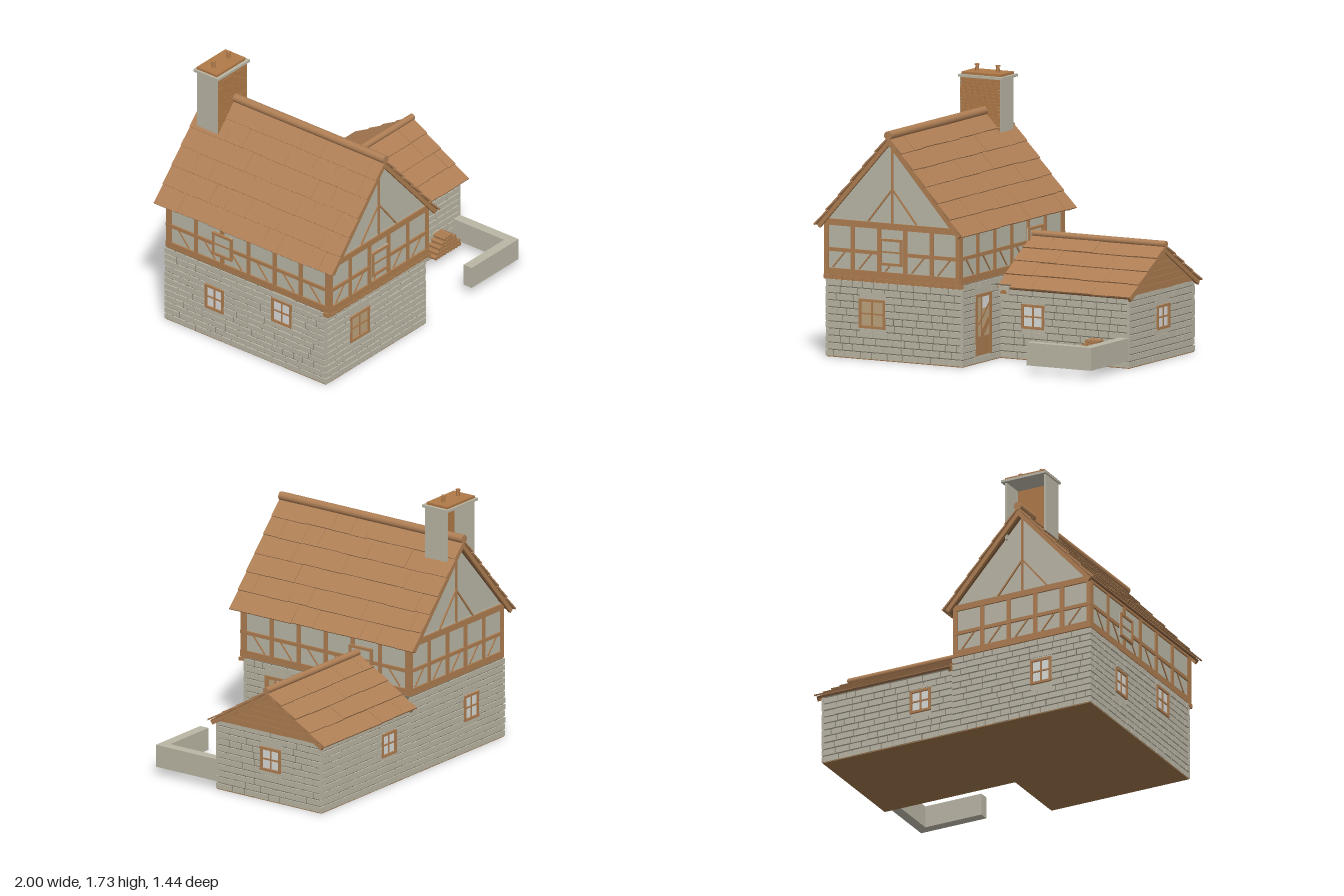
import * as THREE from 'three';
import { mergeGeometries } from 'three/addons/utils/BufferGeometryUtils.js';

const paint = (name, color) => Object.assign(new THREE.MeshStandardMaterial({ color }), { name });

export function createModel() {
  const stone = paint('stone', 0xbab6a5), mortar = paint('mortar', 0x787265);
  const plaster = paint('plaster', 0xbab7a7), timber = paint('timber', 0xae7d50);
  const tile = paint('roof tile', 0xaf7f55), lath = paint('roof underside', 0x8a6342);
  const glass = paint('glass', 0xdadcda), tan = paint('tan panel', 0xbca27c);
  const brick = paint('chimney brick', 0xb07a48), floorMat = paint('floor', 0x9c734a);

  let seed = 7;
  const rand = (a, b) => {
    seed = (seed * 16807) % 2147483647;
    return a + (b - a) * (seed / 2147483647);
  };
  const model = new THREE.Group();
  model.name = 'cottage';

  const boxGeo = (x0, x1, y0, y1, z0, z1) => new THREE.BoxGeometry(x1 - x0, y1 - y0, z1 - z0)
    .translate((x0 + x1) / 2, (y0 + y1) / 2, (z0 + z1) / 2);
  const add = (parent, name, geo, mat) => {
    const m = new THREE.Mesh(geo, mat);
    m.name = name;
    parent.add(m);
    return m;
  };
  const box = (parent, name, mat, ...b) => add(parent, name, boxGeo(...b), mat);

  // A wall frame: local x runs along the wall, y up, z outward
  const face = (name, angle, x, z) => {
    const g = new THREE.Group();
    g.name = name;
    g.rotation.y = angle;
    g.position.set(x, 0, z);
    model.add(g);
    return g;
  };
  const RIGHT = Math.PI / 2, BACK = Math.PI, LEFT = -Math.PI / 2;

  // Bar between two points of a wall frame
  const barGeo = (x0, y0, x1, y1, width, z0, z1) =>
    new THREE.BoxGeometry(Math.hypot(x1 - x0, y1 - y0), width, z1 - z0)
      .rotateZ(Math.atan2(y1 - y0, x1 - x0)).translate((x0 + x1) / 2, (y0 + y1) / 2, (z0 + z1) / 2);

  // Courses of blocks, left out around the holes [u0, u1, v0, v1]
  function courses(wall, name, mat, u0, u1, v0, v1, holes = [], rowH = 0.044, len = [0.06, 0.13], gap = 0.008) {
    const parts = [], rows = Math.round((v1 - v0) / rowH), h = (v1 - v0) / rows;
    for (let r = 0; r < rows; r++) {
      const a = v0 + r * h, b = a + h - gap;
      let start = u0;
      const cuts = holes.filter(o => o[2] < b && o[3] > a).sort((p, q) => p[0] - q[0]);
      for (const [c0, c1] of [...cuts, [u1, u1]]) {
        for (let u = start; u < c0 - 0.005;) {
          let end = u + rand(...len);
          if (c0 - end < len[0] * 0.6) end = c0;
          parts.push(boxGeo(u, end === c0 ? c0 : end - gap, a, b, -0.015, rand(-0.003, 0.001)));
          u = end;
        }
        start = c1;
      }
    }
    // Plain lintel and sill fill the cut courses
    for (const [c0, c1, a, b] of holes)
      parts.push(boxGeo(c0, c1, b, b + 0.04, -0.015, -0.006), boxGeo(c0, c1, a - 0.04, a, -0.015, -0.006));
    add(wall, name, mergeGeometries(parts), mat);
  }

  // Framed window with glazing bars
  function windowOn(wall, [u0, u1, v0, v1], pane, mullion = true) {
    const t = 0.016, mu = (u0 + u1) / 2, mv = (v0 + v1) / 2;
    box(wall, 'windowPane', pane, u0, u1, v0, v1, -0.012, -0.004);
    const bars = [
      boxGeo(u0, u0 + t, v0, v1, -0.012, 0.006), boxGeo(u1 - t, u1, v0, v1, -0.012, 0.006),
      boxGeo(u0, u1, v0, v0 + t, -0.012, 0.007), boxGeo(u0, u1, v1 - t, v1, -0.012, 0.007),
      boxGeo(u0, u1, mv - 0.005, mv + 0.005, -0.012, 0.002)];
    if (mullion) bars.push(boxGeo(mu - 0.005, mu + 0.005, v0, v1, -0.012, 0.002));
    add(wall, 'windowFrame', mergeGeometries(bars), timber);
  }

  // Wall cores and floors
  box(model, 'mainWallCore', mortar, -0.95, 0.02, 0.004, 0.52, -0.66, 0.63);
  box(model, 'wingWallCore', mortar, 0.02, 0.95, 0.004, 0.46, -0.66, 0.15);
  box(model, 'mainFloor', floorMat, -0.955, 0.025, 0, 0.008, -0.665, 0.635);
  box(model, 'wingFloor', floorMat, 0.025, 0.955, 0, 0.008, -0.665, 0.155);

  // Stone walls: frame, extent along the wall, top, windows
  const walls = [
    ['mainFrontWall', 0, 0, 0.64, -0.96, 0.03, 0.5, [[-0.72, -0.53, 0.2, 0.385]], tan],
    ['mainBackWall', BACK, 0, -0.67, -0.03, 0.96, 0.525, [[0.53, 0.68, 0.21, 0.38]], glass],
    ['mainLeftWall', LEFT, -0.96, 0, -0.67, 0.64, 0.525, [[-0.34, -0.19, 0.21, 0.38], [0.2, 0.36, 0.31, 0.48]], glass],
    ['wingFrontWall', 0, 0, 0.16, 0.03, 0.96, 0.455, [[0.18, 0.345, 0.2, 0.355]], glass],
    ['wingBackWall', BACK, 0, -0.67, -0.96, -0.03, 0.455, [[-0.33, -0.18, 0.2, 0.355]], glass],
    ['wingEndWall', RIGHT, 0.96, 0, -0.16, 0.67, 0.47, [[0.19, 0.35, 0.2, 0.355]], glass],
  ];
  for (const [name, angle, x, z, u0, u1, top, holes, pane] of walls) {
    const wall = face(name, angle, x, z);
    courses(wall, 'stoneBlocks', stone, u0, u1, 0.006, top, holes);
    holes.forEach(h => windowOn(wall, h, pane));
  }

  // Door wall, door leaf, braces and light
  const doorWall = face('doorWall', RIGHT, 0.03, 0);
  courses(doorWall, 'stoneBlocks', stone, -0.64, -0.12, 0.006, 0.525, [[-0.475, -0.27, 0.05, 0.44]]);
  box(doorWall, 'doorLeaf', tan, -0.46, -0.285, 0.05, 0.425, -0.012, -0.006);
  box(doorWall, 'doorGlass', glass, -0.38, -0.3, 0.345, 0.42, -0.01, -0.004);
  add(doorWall, 'doorFrame', mergeGeometries([
    boxGeo(-0.475, -0.445, 0.05, 0.44, -0.012, 0), boxGeo(-0.295, -0.27, 0.05, 0.44, -0.012, 0),
    boxGeo(-0.475, -0.27, 0.42, 0.44, -0.012, 0.001), boxGeo(-0.4, -0.388, 0.17, 0.42, -0.012, -0.003),
    barGeo(-0.43, 0.25, -0.3, 0.37, 0.016, -0.012, -0.002), barGeo(-0.39, 0.18, -0.3, 0.27, 0.04, -0.012, -0.002),
    boxGeo(-0.445, -0.295, 0.05, 0.17, -0.012, -0.004)]), timber);

  // Jettied upper storey and its attic
  box(model, 'upperWalls', plaster, -0.945, 0.015, 0.52, 0.89, -0.655, 0.66);
  const attic = new THREE.Shape([[-0.94, 0.88], [0.01, 0.88], [-0.465, 1.4]].map(p => new THREE.Vector2(...p)));
  add(model, 'atticGables', new THREE.ExtrudeGeometry(attic, { depth: 1.31, bevelEnabled: false })
    .translate(0, 0, -0.652), plaster);

  // Timber frame on one side of the upper storey
  function frame(name, angle, x, z, u0, u1, bays, win, gable) {
    const wall = face(name, angle, x, z), parts = [], step = (u1 - u0) / bays, d = gable ? 1 : -1;
    for (const [a, b] of [[0.525, 0.57], [0.677, 0.7], [0.842, 0.882]])
      parts.push(boxGeo(u0 - 0.015, u1 + 0.015, a, b, -0.01, 0.011));
    for (let i = 0; i <= bays; i++) {
      const u = u0 + i * step, m = u + step / 2;
      parts.push(boxGeo(u - 0.014, u + 0.014, 0.53, 0.88, -0.01, 0.009));
      if (i < bays) parts.push(barGeo(m - 0.05 * d, 0.575, m + 0.04 * d, 0.68, 0.009, -0.01, 0.006));
    }
    if (gable) {
      const c = (u0 + u1) / 2;
      parts.push(boxGeo(c - 0.006, c + 0.006, 0.88, 1.385, -0.01, 0.007));
      for (const s of [-1, 1]) parts.push(barGeo(c, 1.1, c + s * 0.175, 0.885, 0.01, -0.01, 0.006));
    }
    add(wall, 'timberFrame', mergeGeometries(parts), timber);
    if (win) {
      const g = new THREE.Group();
      g.name = 'upperWindow';
      g.position.z = 0.017;
      wall.add(g);
      windowOn(g, win, plaster, false);
    }
  }
  frame('upperFront', 0, 0, 0.66, -0.94, 0.01, 5, [-0.55, -0.385, 0.615, 0.785], true);
  frame('upperBack', BACK, 0, -0.655, -0.01, 0.94, 5, null, true);
  frame('upperRight', RIGHT, 0.015, 0, -0.64, 0.635, 6, [0.19, 0.37, 0.62, 0.78]);
  frame('upperLeft', LEFT, -0.945, 0, -0.635, 0.64, 6, [-0.28, -0.12, 0.62, 0.78]);

  // Jetty beam with joist ends
  box(model, 'jettyBeam', timber, -0.965, 0.025, 0.498, 0.526, 0.62, 0.662);
  for (let i = 0; i < 14; i++)
    box(model, 'joistEnd', timber, -0.95 + i * 0.072, -0.895 + i * 0.072, 0.503, 0.523, 0.65, 0.672);

  // Pitched roof: ridge along local x, overlapping tiles on both slopes
  function roof(name, length, run, rise, rows, ridgeR) {
    const g = new THREE.Group(), slope = Math.hypot(run, rise), step = slope / rows, half = length / 2;
    g.name = name;
    for (const turn of [0, Math.PI]) {
      const side = new THREE.Group(), pitch = new THREE.Group(), tiles = [];
      side.name = 'roofSide';
      pitch.name = 'roofSlope';
      side.rotation.y = turn;
      pitch.rotation.x = Math.atan2(rise, run);
      g.add(side.add(pitch));
      box(pitch, 'roofDeck', lath, -half + 0.01, half - 0.01, -0.016, -0.002, 0, slope - 0.01);
      for (const s of [-1, 1])
        add(pitch, 'bargeBoard', boxGeo(-0.01, 0.01, -0.034, -0.008, 0, slope - 0.01)
          .translate(s * (half - 0.018), 0, 0), timber);
      for (let r = 0; r < rows; r++)
        for (let x = -half; x < half - 0.001;) {
          let w = rand(0.09, 0.22);
          if (half - x - w < 0.06) w = half - x;
          const len = step + rand(0, 0.006);
          tiles.push(new THREE.BoxGeometry(w - 0.0008, 0.01, len).rotateX(-0.06)
            .translate(x + w / 2, 0.004 + rand(-0.0015, 0.0015), r * step + len / 2));
          x += w;
        }
      add(pitch, 'roofTiles', mergeGeometries(tiles), tile);
    }
    const ridge = add(g, 'ridgeRoll', new THREE.CylinderGeometry(ridgeR, ridgeR, length, 12), tile);
    ridge.rotation.z = Math.PI / 2;
    ridge.position.y = 0.012;
    model.add(g);
    return g;
  }
  const mainRoof = roof('mainRoof', 1.44, 0.53, 0.595, 6, 0.028);
  mainRoof.rotation.y = RIGHT;
  mainRoof.position.set(-0.465, 1.435, 0);
  roof('wingRoof', 0.97, 0.452, 0.275, 4, 0.022).position.set(0.505, 0.727, -0.255);

  // Boarded gable of the wing
  const gableEnd = face('wingGable', RIGHT, 0.945, 0);
  for (let i = 0; i < 6; i++) {
    const y0 = 0.46 + i * 0.042, y1 = y0 + 0.0405, w = y => Math.max(0.001, (0.712 - y) / 0.6);
    const s = new THREE.Shape([[-w(y0), y0], [w(y0), y0], [w(y1), y1], [-w(y1), y1]]
      .map(([u, v]) => new THREE.Vector2(u + 0.255, v)));
    add(gableEnd, 'gableBoard', new THREE.ExtrudeGeometry(s, { depth: 0.024, bevelEnabled: false }), timber);
  }
  const backing = new THREE.Shape([[-0.16, 0.455], [0.67, 0.455], [0.255, 0.705]].map(p => new THREE.Vector2(...p)));
  add(gableEnd, 'gableBacking', new THREE.ExtrudeGeometry(backing, { depth: 0.015, bevelEnabled: false }), timber);

  // Chimney: stone cheeks, brick front, open back, cap and pots
  for (const x of [-0.64, -0.362])
    box(model, 'chimneyCheek', stone, x, x + 0.012, 1.26, 1.65, -0.67, -0.5);
  box(model, 'chimneyFront', brick, -0.628, -0.362, 1.26, 1.65, -0.52, -0.503);
  courses(face('chimneyFace', 0, 0, -0.497), 'chimneyBricks', brick, -0.638, -0.352, 1.26, 1.65, [], 0.022, [0.035, 0.05], 0.002);
  box(model, 'chimneyCap', stone, -0.65, -0.33, 1.65, 1.666, -0.69, -0.49);
  box(model, 'chimneyTop', brick, -0.635, -0.35, 1.666, 1.682, -0.675, -0.51);
  for (const x of [-0.57, -0.42]) {
    add(model, 'chimneyPot', new THREE.CylinderGeometry(0.011, 0.013, 0.04, 12), brick).position.set(x, 1.7, -0.592);
    add(model, 'potRim', new THREE.CylinderGeometry(0.015, 0.015, 0.008, 12), brick).position.set(x, 1.722, -0.592);
  }

  // Low garden wall
  box(model, 'gardenWallSide', stone, 0.89, 0.955, 0.05, 0.195, 0.155, 0.635);
  box(model, 'gardenWallFront', stone, 0.49, 0.89, 0.05, 0.195, 0.57, 0.635);

  // Stacked logs against the wing
  for (let row = 0; row < 5; row++)
    for (let i = 0; i < 9 - row * 1.6; i++) {
      const log = add(model, 'log', new THREE.CylinderGeometry(0.014, 0.014, 0.09, 8), timber);
      log.rotation.x = RIGHT;
      log.position.set(0.615 + row * 0.022 + i * 0.0285, 0.066 + row * 0.025, 0.205);
    }

  // Hanging sign by the door
  box(model, 'signBracket', mortar, 0.03, 0.14, 0.474, 0.482, 0.222, 0.232);
  box(model, 'signBoard', stone, 0.055, 0.13, 0.405, 0.47, 0.222, 0.232);
  for (const [z, turn] of [[0.2325, 0], [0.2215, Math.PI]]) {
    const arch = add(model, 'signEmblem', new THREE.CircleGeometry(0.025, 16, 0, Math.PI), brick);
    arch.position.set(0.0925, 0.422, z);
    arch.rotation.y = turn;
  }
  return model;
}
